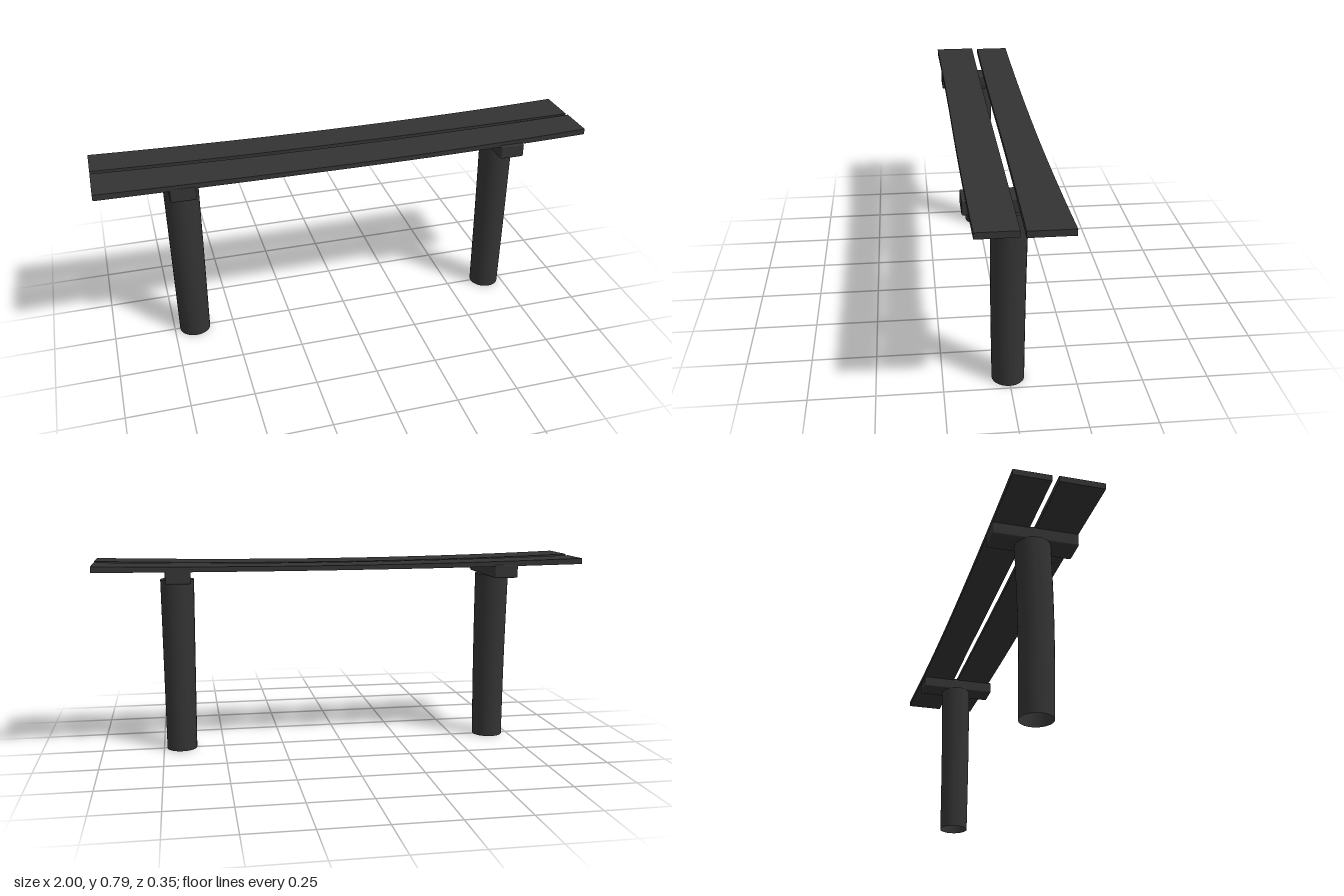
import * as THREE from 'three';
import { toCreasedNormals } from 'three/addons/utils/BufferGeometryUtils.js';
import { RoundedBoxGeometry } from 'three/addons/geometries/RoundedBoxGeometry.js';

const material = new THREE.MeshStandardMaterial({ color: 0x333333, side: THREE.DoubleSide });

// Move every vertex of a geometry by a rule
function warp(geometry, rule) {
  const pos = geometry.attributes.position;
  const v = new THREE.Vector3();
  for (let i = 0; i < pos.count; i++) {
    rule(v.fromBufferAttribute(pos, i));
    pos.setXYZ(i, v.x, v.y, v.z);
  }
  return toCreasedNormals(geometry, 0.6);
}

function addMesh(group, name, geometry) {
  const mesh = new THREE.Mesh(geometry, material);
  mesh.name = name;
  group.add(mesh);
  return mesh;
}

// Sagging board; each edge is given by its z at the right end, middle and left end
function plank(back, front, endTop) {
  const along = (e, x) => e[1] + (x < 0 ? e[0] - e[1] : e[2] - e[1]) * x * x;
  return warp(new THREE.BoxGeometry(2, 1, 1, 16, 1, 1), (v) => {
    const thickness = 0.019 + 0.005 * v.x * v.x;
    const top = 0.774 + (endTop - 0.774) * v.x * v.x;
    v.y = v.y > 0 ? top : top - thickness;
    v.z = v.z > 0 ? along(front, v.x) : along(back, v.x);
  });
}

// Hollow post, open at the foot, with a slight bow and flare
function post(baseX, topX, baseR, topR, bow, z) {
  const height = 0.713;
  const profile = [];
  for (let i = 0; i <= 8; i++) {
    const t = i / 8;
    profile.push(new THREE.Vector2(baseR + (topR - baseR) * t, t * height));
  }
  profile.push(new THREE.Vector2(0.0001, height));
  return warp(new THREE.LatheGeometry(profile, 32), (v) => {
    const t = v.y / height;
    v.x += baseX + (topX - baseX) * t;
    v.z += z + bow * Math.sin(Math.PI * t);
  });
}

export function createModel() {
  const bench = new THREE.Group();
  bench.name = 'bench';

  // Seat boards
  addMesh(bench, 'frontPlank', plank([0, 0.001, 0.006], [0.173, 0.162, 0.154], 0.79));
  addMesh(bench, 'backPlank', plank([-0.17, -0.165, -0.176], [-0.026, -0.023, -0.013], 0.787));

  // Posts
  addMesh(bench, 'rightPost', post(-0.664, -0.665, 0.064, 0.07, 0.006, 0.002));
  addMesh(bench, 'leftPost', post(0.675, 0.674, 0.062, 0.068, 0.002, 0.003));

  // Crossbars under the boards
  for (const [name, x, z] of [['rightCrossbar', -0.671, 0], ['leftCrossbar', 0.671, 0.003]]) {
    const bar = addMesh(bench, name, new RoundedBoxGeometry(0.1, 0.056, 0.338, 2, 0.006));
    bar.position.set(x, 0.738, z);
  }
  return bench;
}
